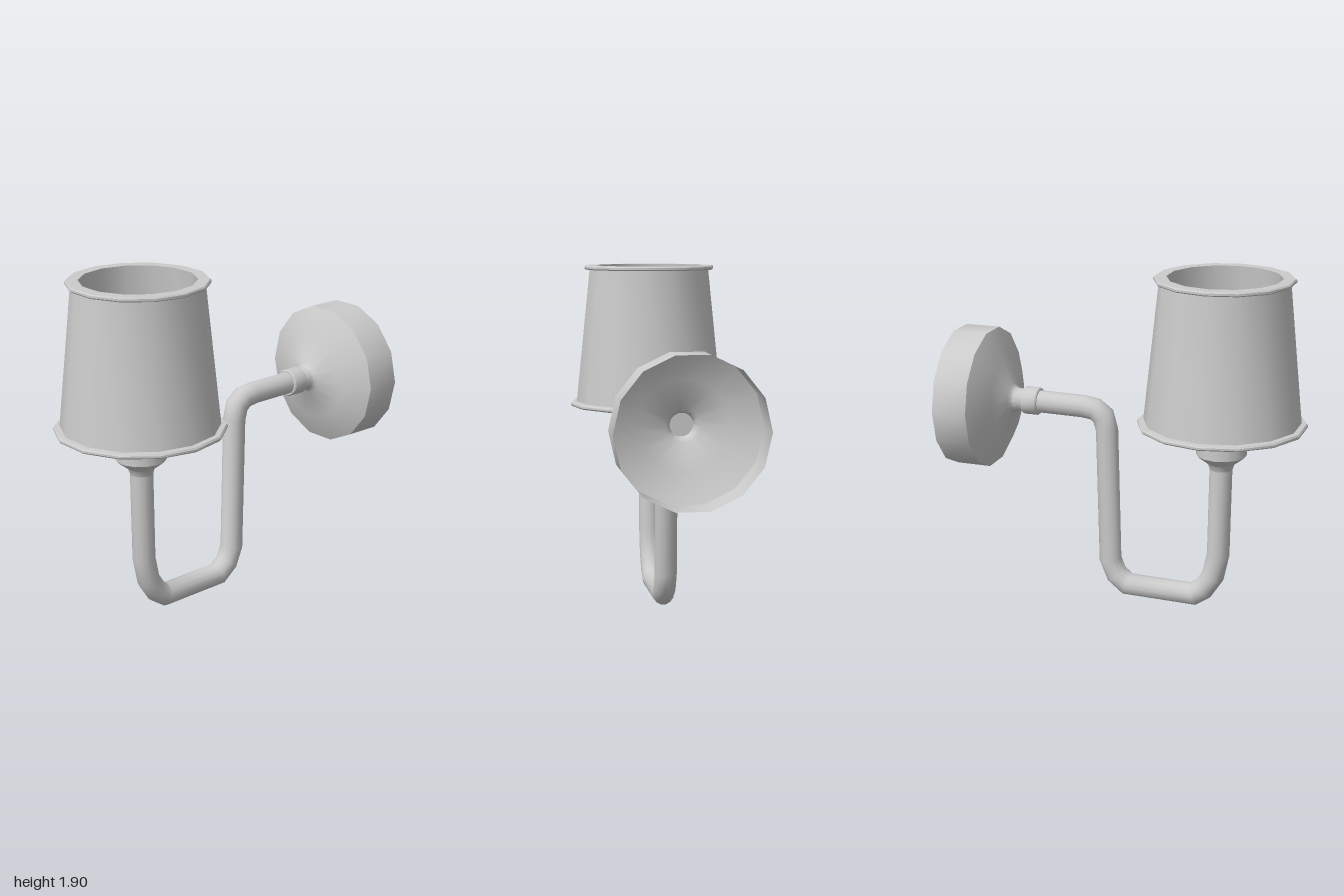
import * as THREE from 'three';
import { toCreasedNormals } from 'three/addons/utils/BufferGeometryUtils.js';

const SIDES = 14;
const SHADE_Z = 0.547;
const PLATE_Y = 1.113;

const material = new THREE.MeshStandardMaterial({ color: 0xcccccc, side: THREE.DoubleSide });

// Turned part from [radius, height] pairs, with a corner on the x axis
function turned(name, profile) {
  const points = profile.map(([r, h]) => new THREE.Vector2(r, h));
  const lathe = new THREE.LatheGeometry(points, SIDES, Math.PI / 2);
  const mesh = new THREE.Mesh(toCreasedNormals(lathe, 0.6), material);
  mesh.name = name;
  return mesh;
}

// Round pipe along [z, y] points in the x = 0 plane, mitred at each bend
function bentPipe(name, path, radius) {
  const rows = path.length - 1;
  const pts = path.map(([z, y]) => new THREE.Vector2(z, y));
  const geometry = new THREE.CylinderGeometry(radius, radius, 1, SIDES, rows, false, Math.PI / 2);
  const pos = geometry.attributes.position;
  const nor = geometry.attributes.normal;
  for (let i = 0; i < pos.count; i++) {
    const row = Math.round((0.5 - pos.getY(i)) * rows);
    const a = pts[Math.max(row - 1, 0)], p = pts[row], b = pts[Math.min(row + 1, rows)];
    const before = (row > 0 ? p.clone().sub(a) : b.clone().sub(p)).normalize();
    const after = (row < rows ? b.clone().sub(p) : before.clone()).normalize();
    const t = before.clone().add(after).normalize();
    const offset = pos.getZ(i) / t.dot(before);
    const nz = nor.getZ(i), along = -nor.getY(i);
    pos.setXYZ(i, pos.getX(i), p.y + t.x * offset, p.x - t.y * offset);
    nor.setXYZ(i, nor.getX(i), t.x * nz + t.y * along, -t.y * nz + t.x * along);
  }
  const mesh = new THREE.Mesh(geometry, material);
  mesh.name = name;
  return mesh;
}

export function createModel() {
  const model = new THREE.Group();
  model.name = 'wallLamp';

  // Hollow tapered shade with a lip at each end
  const shade = turned('shade', [
    [0.395, 1.08], [0.458, 1.08], [0.465, 1.087], [0.465, 1.097], [0.458, 1.106],
    [0.43, 1.108], [0.35, 1.876], [0.374, 1.876], [0.38, 1.882], [0.38, 1.893],
    [0.374, 1.9], [0.31, 1.9], [0.395, 1.08],
  ]);
  shade.position.z = SHADE_Z;

  // Bulb socket flaring out of the pipe
  const socket = turned('socket', [
    [0.063, 0.83], [0.075, 0.865], [0.112, 0.893], [0.14, 0.917],
    [0.14, 1.215], [0.135, 1.22], [0, 1.22],
  ]);
  socket.position.z = SHADE_Z;

  // Arm from socket down, across, up and back to the wall
  const arm = bentPipe('arm', [
    [SHADE_Z, 0.9], [0.54, 0.326], [0.512, 0.19], [0.457, 0.105], [0.397, 0.064],
    [0.005, 0.07], [-0.062, 0.123], [-0.1, 0.214], [-0.118, 0.985], [-0.14, 1.065],
    [-0.187, 1.1], [-0.26, 1.11], [-0.51, PLATE_Y], [-0.62, PLATE_Y],
  ], 0.063);

  // Wall fixture, turned about the z axis
  const wallMount = new THREE.Group();
  wallMount.name = 'wallMount';
  wallMount.position.y = PLATE_Y;
  wallMount.rotation.x = Math.PI / 2;
  wallMount.add(
    turned('wallPlate', [
      [0.4, -1], [0.4, -0.8], [0.245, -0.72], [0.09, -0.683], [0.07, -0.665],
      [0.064, -0.64], [0.064, -0.6],
    ]),
    turned('collar', [
      [0.06, -0.612], [0.072, -0.612], [0.078, -0.605], [0.078, -0.525],
      [0.072, -0.518], [0.06, -0.518],
    ]),
  );

  model.add(shade, socket, arm, wallMount);
  return model;
}
